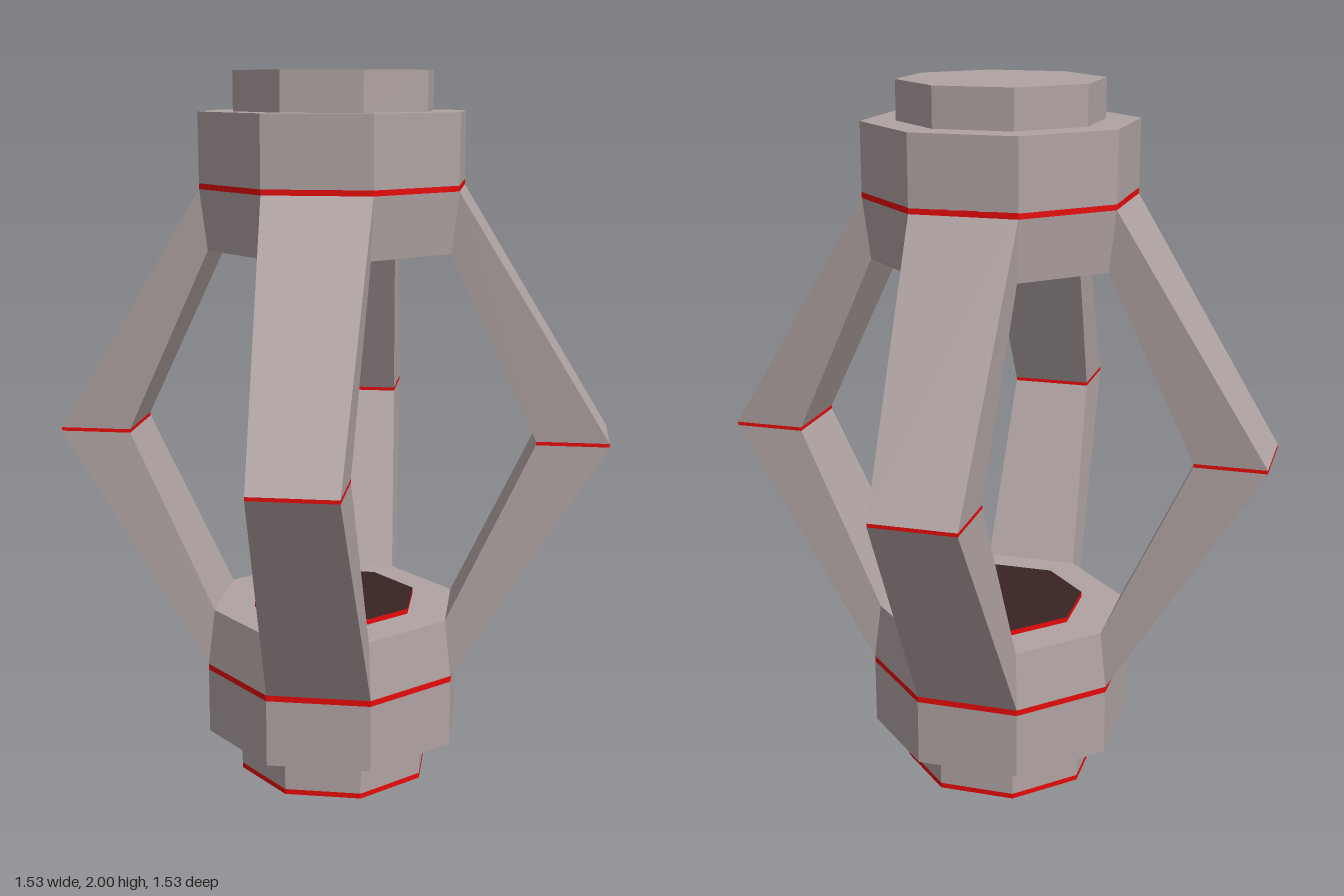
import * as THREE from 'three';

const paint = (name, color) => {
  const m = new THREE.MeshStandardMaterial({ color });
  m.name = name;
  return m;
};

export function createModel() {
  const grey = paint('warm grey', 0xb0a2a2);
  const red = paint('red trim', 0xe60a0a);
  const dark = paint('dark port', 0x3a2323);
  const model = new THREE.Group();

  const add = (parent, name, geometry, material) => {
    const flat = geometry.toNonIndexed();
    flat.computeVertexNormals();
    const mesh = new THREE.Mesh(flat, material);
    mesh.name = name;
    parent.add(mesh);
    return mesh;
  };

  // Octagonal prism with flats facing the axes; sizes are centre-to-flat distances
  const octagon = (name, y0, y1, a0, a1, material) => {
    const k = 1 / Math.cos(Math.PI / 8);
    const g = new THREE.CylinderGeometry(a1 * k, a0 * k, y1 - y0, 8, 1, false, Math.PI / 8);
    // cylinder groups: side, top, bottom
    if (!Array.isArray(material)) g.clearGroups();
    g.translate(0, (y0 + y1) / 2, 0);
    return add(model, name, g, material);
  };

  // Upper hub
  octagon('topCap', 1.89, 2.0, 0.26, 0.26, grey);
  octagon('upperCollar', 1.705, 1.893, 0.348, 0.348, grey);
  octagon('upperBand', 1.69, 1.706, 0.348, 0.348, red);
  octagon('upperTaper', 1.525, 1.69, 0.329, 0.348, grey);
  octagon('upperPort', 1.51, 1.526, 0.22, 0.22, [red, grey, dark]);

  // Lower hub
  octagon('lowerPort', 0.495, 0.511, 0.22, 0.22, [red, dark, grey]);
  octagon('lowerTaper', 0.335, 0.496, 0.348, 0.329, grey);
  octagon('lowerBand', 0.318, 0.335, 0.348, 0.348, red);
  octagon('lowerCollar', 0.128, 0.318, 0.348, 0.348, grey);
  octagon('bottomCap', 0.015, 0.13, 0.26, 0.26, grey);
  octagon('bottomPort', 0, 0.015, 0.26, 0.26, [red, grey, dark]);

  // Bar between two sections, each { outer: [r, y, halfWidth], inner: [...] }
  const bar = (low, high) => {
    const g = new THREE.BoxGeometry(1, 1, 1);
    const p = g.attributes.position;
    for (let i = 0; i < p.count; i++) {
      const section = p.getY(i) > 0 ? high : low;
      const [r, y, w] = p.getZ(i) > 0 ? section.outer : section.inner;
      p.setXYZ(i, Math.sign(p.getX(i)) * w, y, r);
    }
    return g;
  };
  const elbow = (y) => ({ outer: [0.765, y, 0.115], inner: [0.567, y, 0.115] });
  const upperRoot = { outer: [0.348, 1.69, 0.144], inner: [0.329, 1.525, 0.136] };
  const lowerRoot = { outer: [0.348, 0.335, 0.144], inner: [0.329, 0.496, 0.136] };

  // Four bent struts around the hubs
  ['front', 'left', 'back', 'right'].forEach((side, i) => {
    const strut = new THREE.Group();
    strut.name = side + 'Strut';
    add(strut, 'upperArm', bar(elbow(1.016), upperRoot), grey);
    add(strut, 'elbowTrim', bar(elbow(1.006), elbow(1.016)), red);
    add(strut, 'lowerArm', bar(lowerRoot, elbow(1.006)), grey);
    strut.rotation.y = (i * Math.PI) / 2;
    model.add(strut);
  });

  return model;
}
